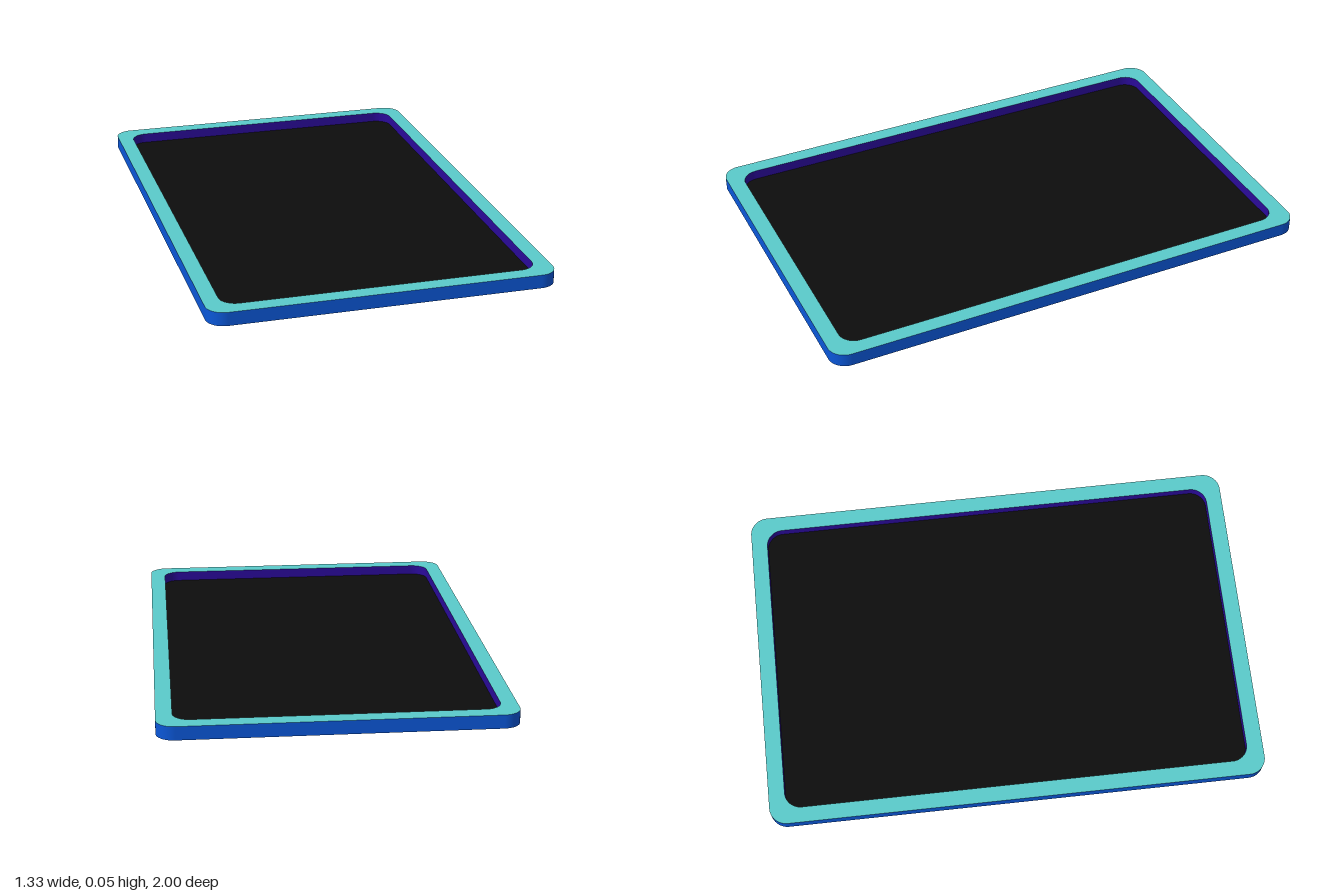
import * as THREE from 'three';

const HEIGHT = 0.053, FLOOR = 0.013;

// Rounded rectangle outline, starting mid-edge so the wall seam lies on a straight run
function outline(w, d, r) {
  const s = new THREE.Shape();
  s.moveTo(0, -d);
  s.lineTo(w - r, -d);
  s.absarc(w - r, -d + r, r, -Math.PI / 2, 0);
  s.absarc(w - r, d - r, r, 0, Math.PI / 2);
  s.absarc(-w + r, d - r, r, Math.PI / 2, Math.PI);
  s.absarc(-w + r, -d + r, r, Math.PI, Math.PI * 1.5);
  s.lineTo(0, -d);
  return s;
}

// Horizontal sheet at height y, facing up or down
function sheet(shape, y, up = true) {
  const geo = new THREE.ShapeGeometry(shape, 12);
  geo.rotateX(up ? -Math.PI / 2 : Math.PI / 2);
  return geo.translate(0, y, 0);
}

// Upright band that follows an outline from y0 to y1
function wall(shape, y0, y1) {
  const pts = shape.getPoints(12);
  const geo = new THREE.PlaneGeometry(1, 1, pts.length - 1, 1);
  const pos = geo.attributes.position;
  for (let i = 0; i < pos.count; i++) {
    const p = pts[i % pts.length];
    pos.setXYZ(i, p.x, i < pts.length ? y1 : y0, -p.y);
  }
  geo.computeVertexNormals();
  return geo;
}

export function createModel() {
  const group = new THREE.Group();
  const add = (name, geo, color, side = THREE.FrontSide) => {
    const mesh = new THREE.Mesh(geo, new THREE.MeshStandardMaterial({ color, side }));
    mesh.name = name;
    group.add(mesh);
  };

  const outer = outline(0.667, 1, 0.07);
  const inner = outline(0.605, 0.935, 0.065);
  const rim = outline(0.667, 1, 0.07);
  rim.holes.push(inner);

  // Tray body
  add('outerWall', wall(outer, 0, HEIGHT), 0x0b57d8);
  add('underside', sheet(outer, 0, false), 0x808080);
  add('rim', sheet(rim, HEIGHT), 0x5acaca);

  // Recess
  add('innerWall', wall(inner, FLOOR, HEIGHT), 0x2a0a9a, THREE.BackSide);
  add('recessFloor', sheet(inner, FLOOR), 0x0d0d0d);
  return group;
}
